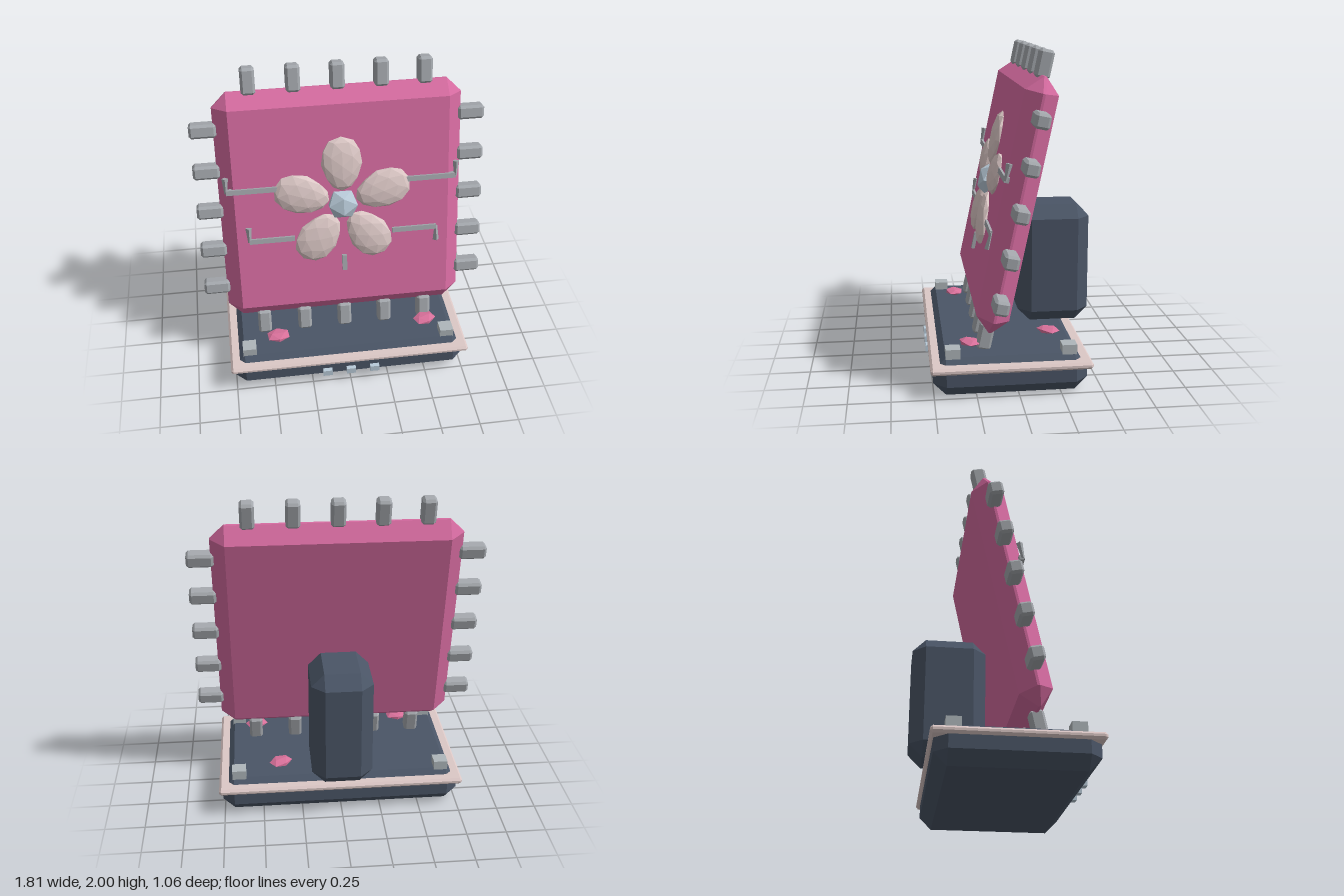
import * as THREE from 'three';
import { ConvexGeometry } from 'three/addons/geometries/ConvexGeometry.js';

const mat = (name, color) => {
  const m = new THREE.MeshStandardMaterial({ color });
  m.name = name;
  return m;
};

// Box with flat chamfers on every edge
function chamferBox(w, h, d, b) {
  const pts = [];
  for (const sx of [-1, 1]) for (const sy of [-1, 1]) for (const sz of [-1, 1]) {
    const x = w / 2, y = h / 2, z = d / 2;
    pts.push(
      new THREE.Vector3(sx * x, sy * (y - b), sz * (z - b)),
      new THREE.Vector3(sx * (x - b), sy * y, sz * (z - b)),
      new THREE.Vector3(sx * (x - b), sy * (y - b), sz * z));
  }
  return new ConvexGeometry(pts);
}

function add(parent, name, geometry, material, x, y, z) {
  const mesh = new THREE.Mesh(geometry, material);
  mesh.name = name;
  mesh.position.set(x, y, z);
  parent.add(mesh);
  return mesh;
}

// Faceted petal, length along y, narrower toward its base
function petalGeometry() {
  const g = new THREE.IcosahedronGeometry(1, 1);
  const p = g.attributes.position;
  for (let i = 0; i < p.count; i++) {
    const y = p.getY(i);
    p.setXYZ(i, p.getX(i) * 0.128 * (1 + 0.16 * y), y * 0.178, p.getZ(i) * 0.045);
  }
  g.computeVertexNormals();
  return g;
}

export function createModel() {
  const pink = mat('panel pink', 0xd46a9f);
  const rose = mat('fallen petal rose', 0xd8709a);
  const slate = mat('slate', 0x4a5566);
  const cream = mat('dusty cream', 0xdcc8c6);
  const steel = mat('steel grey', 0xa4a8ad);
  const pale = mat('pad grey', 0xaeb6ba);
  const ice = mat('ice blue', 0xb8cad8);

  const model = new THREE.Group();
  model.name = 'flowerPanelOnStand';

  // Base, trim and rear post
  add(model, 'base', chamferBox(1.52, 0.23, 0.915, 0.075), slate, 0, 0.115, 0.045);
  add(model, 'baseTrim', chamferBox(1.56, 0.042, 0.955, 0.014), cream, 0, 0.175, 0.043);
  add(model, 'rearPost', chamferBox(0.38, 0.765, 0.455, 0.08), slate, 0, 0.6175, -0.2975);

  // Corner pads and front buttons
  const pad = new THREE.BoxGeometry(0.088, 0.06, 0.088);
  for (const x of [-0.65, 0.65]) for (const z of [-0.305, 0.385]) add(model, 'cornerPad', pad, pale, x, 0.25, z);
  const button = new THREE.BoxGeometry(0.06, 0.042, 0.05);
  for (const x of [-0.155, 0, 0.155]) add(model, 'frontButton', button, ice, x, 0.096, 0.505);

  // Fallen petals lying on the base
  const fallen = new THREE.IcosahedronGeometry(0.08, 0);
  [[-0.455, 0.305, 0.3], [0.53, 0.275, 1.4], [0.38, -0.225, 2.2]].forEach(([x, z, turn]) => {
    const m = add(model, 'fallenPetal', fallen, rose, x, 0.265, z);
    m.scale.set(1, 0.25, 0.8);
    m.rotation.y = turn * 0.3;
  });

  // Tilted panel
  const panel = new THREE.Group();
  panel.name = 'tiltedPanel';
  panel.position.set(0, 1.11, 0.01);
  panel.rotation.x = THREE.MathUtils.degToRad(-12);
  model.add(panel);
  add(panel, 'panelBody', chamferBox(1.52, 1.52, 0.195, 0.09), pink, 0, 0, 0);

  // Five pins on each of the four edges
  const pin = chamferBox(0.087, 0.165, 0.087, 0.015);
  for (let side = 0; side < 4; side++) {
    const edge = new THREE.Group();
    edge.name = 'pinRow';
    edge.rotation.z = side * Math.PI / 2;
    panel.add(edge);
    for (let i = -2; i <= 2; i++) add(edge, 'pin', pin, steel, i * 0.267, 0.823, 0);
  }

  // Flower on the front face
  const face = 0.0975;
  const flower = new THREE.Group();
  flower.name = 'flower';
  flower.position.set(0, 0.02, face);
  panel.add(flower);
  const petal = petalGeometry();
  for (let i = 0; i < 5; i++) {
    const a = i * Math.PI * 2 / 5;
    const m = add(flower, 'petal', petal, cream, -Math.sin(a) * 0.267, Math.cos(a) * 0.267, 0.004);
    m.rotation.z = a;
  }
  const heart = add(flower, 'flowerCentre', new THREE.IcosahedronGeometry(0.105, 0), ice, 0, 0, 0.012);
  heart.scale.z = 0.6;

  // Inlaid traces: a bar toward the flower with a tapered end piece
  const tip = new THREE.CylinderGeometry(0.02, 0.009, 0.1, 4).toNonIndexed();
  tip.computeVertexNormals();
  const trace = (x0, x1, y, up) => {
    add(panel, 'traceBar', new THREE.BoxGeometry(Math.abs(x1 - x0), 0.032, 0.03), steel, (x0 + x1) / 2, y, face);
    add(panel, 'traceTip', tip, steel, x1, y + up * 0.045, face + 0.006).rotation.z = up < 0 ? Math.PI : 0;
  };
  trace(-0.36, -0.715, 0.155, 1);
  trace(0.36, 0.715, 0.155, 1);
  trace(-0.31, -0.595, -0.19, 1);
  trace(0.31, 0.595, -0.19, -1);
  add(panel, 'lowerTrace', new THREE.BoxGeometry(0.03, 0.105, 0.03), steel, 0, -0.39, face + 0.006);

  return model;
}
